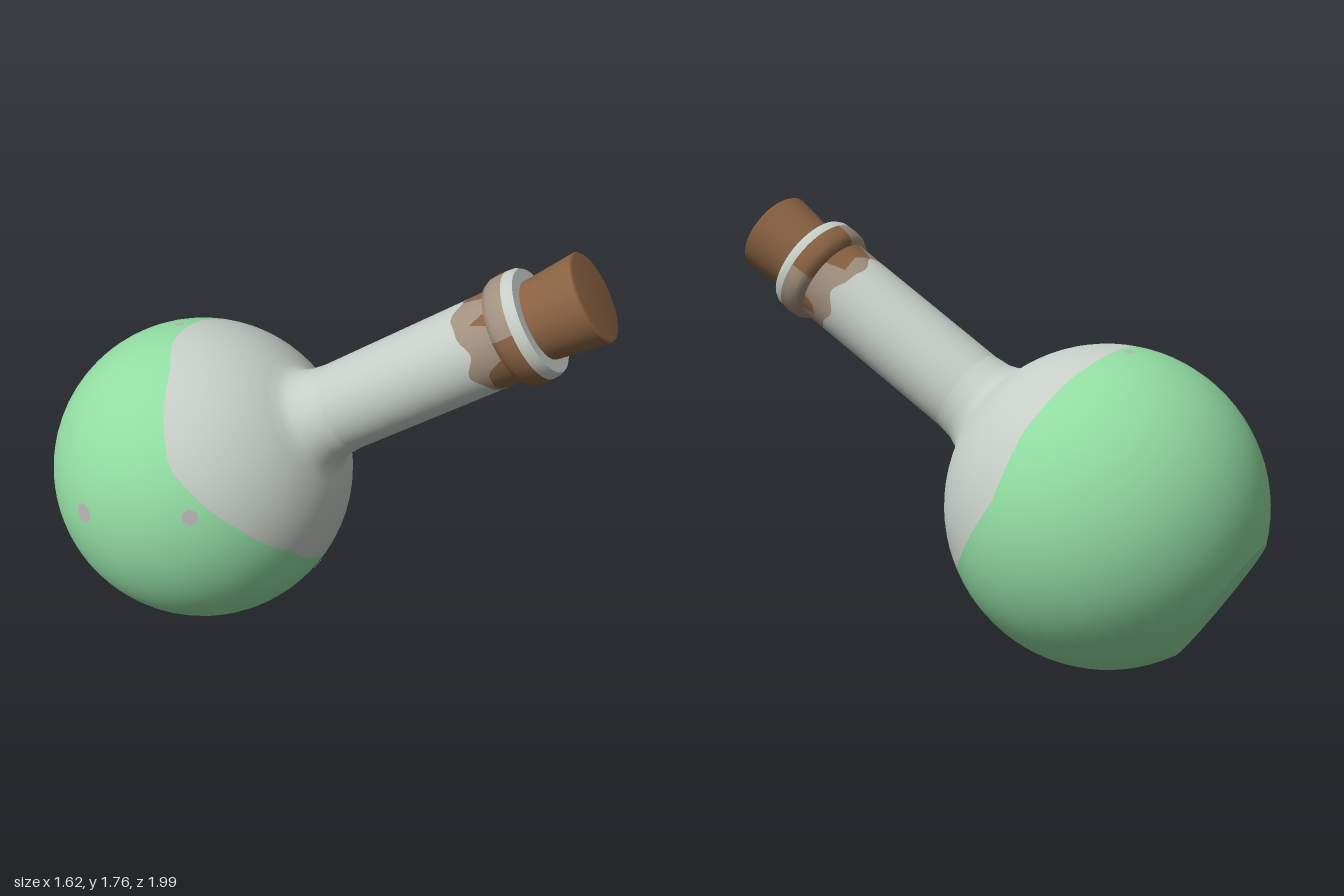
import * as THREE from 'three';

const RAD = Math.PI / 180;
const R = 0.62;                                   // bulb radius
const BASE = 154.5;                               // polar angle where the flat base starts
const CENTRE = new THREE.Vector3(-0.19, 0.625, -0.375);
const AXIS = new THREE.Vector3(0.469, 0.552, 0.689).normalize();

const mat = (name, color) => {
  const m = new THREE.MeshStandardMaterial({ color, side: THREE.DoubleSide });
  m.name = name;
  return m;
};

// Periodic interpolation of [angle, value] pairs, angle in degrees
function around(table, deg) {
  const a = ((deg % 360) + 360) % 360;
  for (let i = 0; i < table.length; i++) {
    const [a0, v0] = table[i];
    const [n1, v1] = table[(i + 1) % table.length];
    const a1 = i + 1 < table.length ? n1 : n1 + 360;
    if (a >= a0 && a <= a1) return v0 + (v1 - v0) * (a - a0) / (a1 - a0);
  }
  return table[0][1];
}

// Surface round the flask axis; profile(deg) gives [radius, height] rows
function revolve(profile, from = 0, to = 360, step = 5) {
  const cols = Math.round((to - from) / step);
  const closed = to - from === 360;
  const count = closed ? cols : cols + 1;
  const pos = [], index = [];
  let rows = 0;
  for (let i = 0; i < count; i++) {
    const deg = from + (to - from) * i / cols;
    const pts = profile(deg);
    rows = pts.length;
    for (const [r, h] of pts) pos.push(r * Math.cos(deg * RAD), h, -r * Math.sin(deg * RAD));
  }
  for (let i = 0; i < cols; i++) {
    const k = (i + 1) % count;
    for (let j = 0; j < rows - 1; j++) {
      const a = i * rows + j, b = k * rows + j;
      index.push(a, b, b + 1, a, b + 1, a + 1);
    }
  }
  const g = new THREE.BufferGeometry();
  g.setAttribute('position', new THREE.Float32BufferAttribute(pos, 3));
  g.setIndex(index);
  g.computeVertexNormals();
  return g;
}

// Rows along the bulb between two polar angles
function bulbRows(a, b, n) {
  return Array.from({ length: n + 1 }, (_, i) => {
    const p = (a + (b - a) * i / n) * RAD;
    return [R * Math.sin(p), R * Math.cos(p)];
  });
}

export function createModel() {
  const glass = mat('pale glass', 0xc6cdc6);
  const green = mat('green liquid', 0x92dca2);
  const cork = mat('cork brown', 0x8a6343);
  const tan = mat('faded stain', 0xa3917f);
  const grey = mat('bubble grey', 0xb8b2b4);

  const model = new THREE.Group();
  model.name = 'flask';
  const flask = new THREE.Group();
  flask.name = 'tiltedFlask';
  model.add(flask);

  // Tilt the local y axis along the neck
  const u = new THREE.Vector3(0, 1, 0).cross(AXIS).normalize();
  const w = u.clone().cross(AXIS);
  flask.quaternion.setFromRotationMatrix(new THREE.Matrix4().makeBasis(u, AXIS, w));
  flask.position.copy(CENTRE);

  const add = (name, geometry, material) => {
    const m = new THREE.Mesh(geometry, material);
    m.name = name;
    flask.add(m);
    return m;
  };

  // Bulb: liquid below a wavy edge, clear glass above
  const edge = [[0, 68], [27, 61], [52, 60], [98, 64], [117, 61], [158, 66.5], [195, 56.5],
    [224, 52.5], [253, 57], [282, 66], [300, 65], [330, 67]];
  add('liquid', revolve(d => bulbRows(BASE, around(edge, d), 20)), green);
  const rb = R * Math.sin(BASE * RAD), hb = R * Math.cos(BASE * RAD);
  add('flatBase', revolve(() => [[0, hb], [rb, hb]]), green);
  add('bulbGlass', revolve(d => [...bulbRows(around(edge, d), 22, 10),
    [0.203, 0.6], [0.184, 0.65], [0.176, 0.72]]), glass);

  // Bubbles showing through the liquid
  const bubbles = [[-0.37, 0.145, 0.476, 0.032], [0.24, -0.335, 0.464, 0.03], [-0.61, 0.055, 0.09, 0.04],
    [-0.01, 0.6, -0.125, 0.018], [0.1, -0.61, 0.06, 0.04]];
  for (const [x, y, z, r] of bubbles) {
    const n = new THREE.Vector3(x, y, z).normalize();
    const b = new THREE.Mesh(new THREE.CircleGeometry(r, 10), grey);
    b.name = 'bubble';
    b.position.copy(CENTRE).addScaledVector(n, R + 0.003);
    b.quaternion.setFromUnitVectors(new THREE.Vector3(0, 0, 1), n);
    model.add(b);
  }

  // Neck with a ragged faded band and darker drips under the collar
  const top = 1.475;
  const bandEdge = d => 1.345 + 0.018 * Math.sin(5 * d * RAD) + 0.008 * Math.sin(9 * d * RAD);
  const drips = [[0, top], [35, top], [45, 1.38], [70, 1.4], [90, 1.37], [105, top], [125, top], [135, 1.4],
    [145, top], [185, top], [197, 1.39], [225, 1.37], [250, 1.4], [265, top], [318, top], [325, 1.4],
    [338, 1.41], [345, top]];
  add('neck', revolve(d => [[0.176, 0.72], [0.177, bandEdge(d)]]), glass);
  add('neckFadedBand', revolve(d => [[0.177, bandEdge(d)], [0.178, around(drips, d)]]), tan);
  add('neckDrips', revolve(d => [[0.178, around(drips, d)], [0.178, top]]), cork);

  // Collar, stained in patches, with a clean glass lip
  const collar = () => [[0.176, 1.462], [0.197, 1.472], [0.209, 1.495], [0.212, 1.525], [0.211, 1.555]];
  for (const [from, to, m] of [[10, 85, cork], [85, 165, tan], [165, 275, cork], [275, 370, tan]]) {
    add('collar', revolve(collar, from, to), m);
  }
  add('collarLip', revolve(() => [[0.211, 1.555], [0.209, 1.58], [0.2, 1.597]]), glass);
  add('collarRim', revolve(() => [[0.2, 1.597], [0.14, 1.597]]), glass);

  // Tapered stopper
  add('stopperSide', revolve(() => [[0.148, 1.56], [0.172, 1.805]]), cork);
  add('stopperTop', revolve(() => [[0.172, 1.805], [0.164, 1.814], [0, 1.814]]), cork);

  return model;
}
